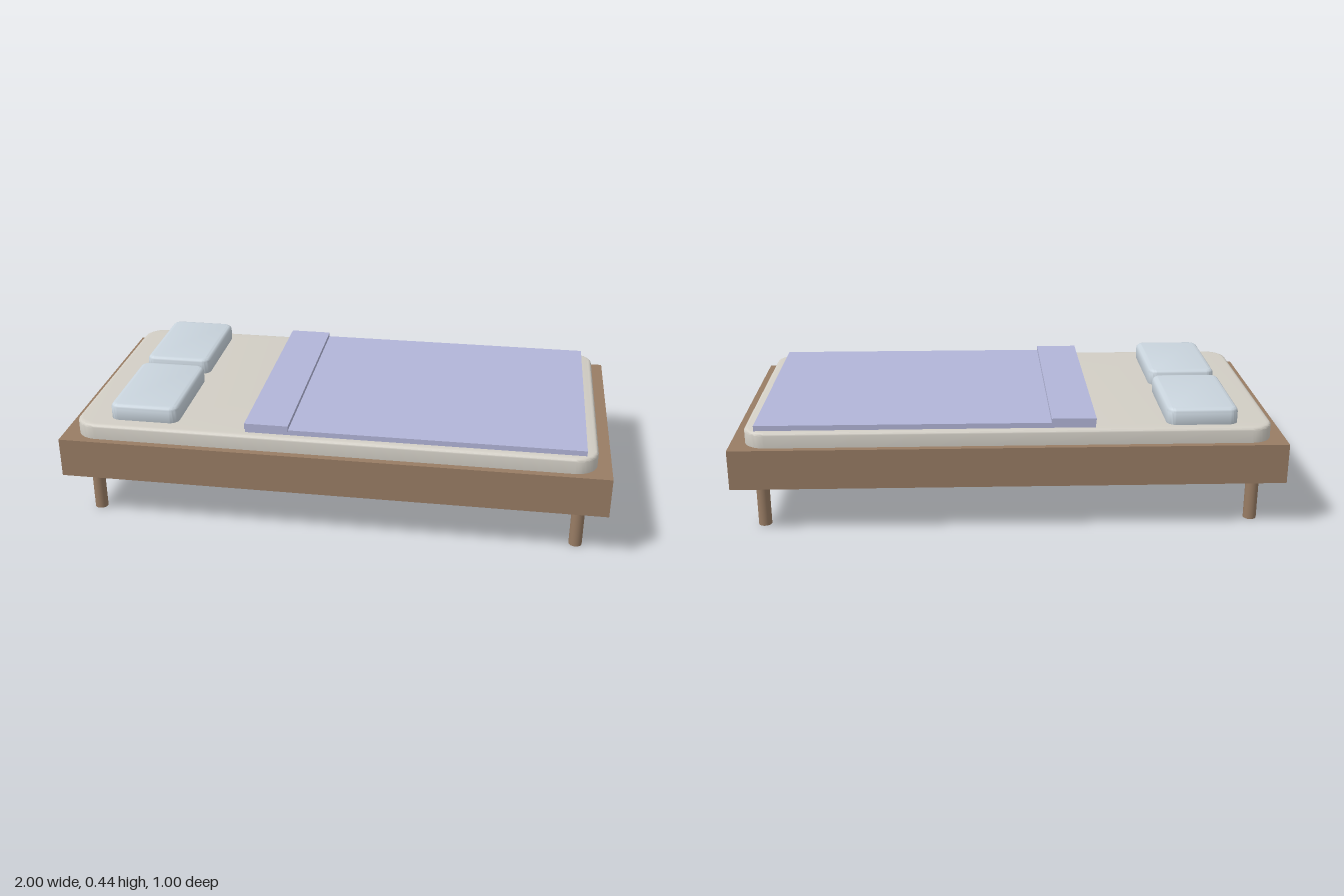
import * as THREE from 'three';
import { toCreasedNormals } from 'three/addons/utils/BufferGeometryUtils.js';

const mat = (color) => new THREE.MeshStandardMaterial({ color });

// Box given by its extents on each axis
function box(name, [x0, x1], [y0, y1], [z0, z1], material) {
  const mesh = new THREE.Mesh(new THREE.BoxGeometry(x1 - x0, y1 - y0, z1 - z0), material);
  mesh.name = name;
  mesh.position.set((x0 + x1) / 2, (y0 + y1) / 2, (z0 + z1) / 2);
  return mesh;
}

// Flat cushion with rounded corners in plan and softened rims
function cushion(name, [x0, x1], [y0, y1], [z0, z1], radius, bevel, material) {
  const w = (x1 - x0) / 2, d = (z1 - z0) / 2, r = radius;
  const shape = new THREE.Shape();
  shape.absarc(w - r, d - r, r, 0, Math.PI / 2);
  shape.absarc(r - w, d - r, r, Math.PI / 2, Math.PI);
  shape.absarc(r - w, r - d, r, Math.PI, Math.PI * 1.5);
  shape.absarc(w - r, r - d, r, Math.PI * 1.5, Math.PI * 2);
  shape.closePath();
  const geometry = new THREE.ExtrudeGeometry(shape, {
    depth: y1 - y0 - 2 * bevel.height, curveSegments: 6,
    bevelThickness: bevel.height, bevelSize: bevel.width, bevelOffset: -bevel.width, bevelSegments: 4,
  });
  geometry.rotateX(-Math.PI / 2);
  const mesh = new THREE.Mesh(toCreasedNormals(geometry, 0.7), material);
  mesh.name = name;
  mesh.position.set((x0 + x1) / 2, y0 + bevel.height, (z0 + z1) / 2);
  return mesh;
}

export function createModel() {
  const bed = new THREE.Group();
  bed.name = 'bed';
  const wood = mat(0x987c64), linen = mat(0xd2cec5), pillowCloth = mat(0xc9d4dd), blanketCloth = mat(0xb2b5d8);

  // Wooden base and round legs
  bed.add(box('frame', [-1, 1], [0.178, 0.326], [-0.5, 0.5], wood));
  const legGeometry = new THREE.CylinderGeometry(0.024, 0.024, 0.18, 24);
  for (const x of [-0.9, 0.9]) {
    for (const z of [-0.4, 0.4]) {
      const leg = new THREE.Mesh(legGeometry, wood);
      leg.name = 'leg';
      leg.position.set(x, 0.09, z);
      bed.add(leg);
    }
  }

  // Mattress sunk slightly into the base
  bed.add(cushion('mattress', [-0.95, 0.95], [0.29, 0.384], [-0.476, 0.474], 0.08,
    { width: 0.016, height: 0.012 }, linen));

  // Two pillows side by side
  for (const [z0, z1] of [[-0.44, -0.03], [0.01, 0.42]]) {
    bed.add(cushion('pillow', [-0.825, -0.568], [0.365, 0.443], [z0, z1], 0.035,
      { width: 0.018, height: 0.018 }, pillowCloth));
  }

  // Blanket and its turned-back edge
  bed.add(box('blanket', [-0.308, 0.908], [0.379, 0.403], [-0.454, 0.446], blanketCloth));
  bed.add(box('blanketFold', [-0.31, -0.15], [0.398, 0.419], [-0.456, 0.448], blanketCloth));
  return bed;
}
